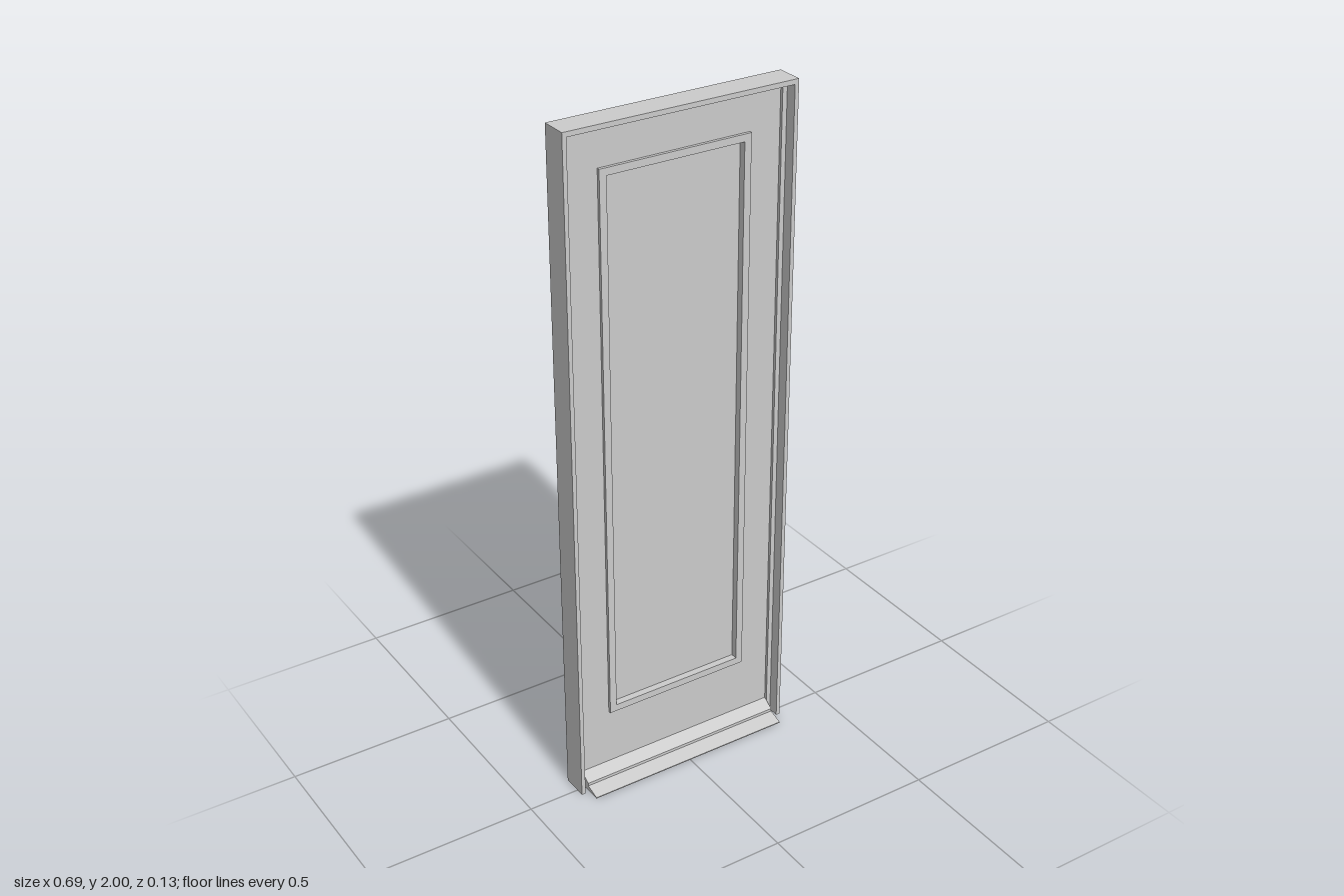
import * as THREE from 'three';

const BACK = -0.055, FRONT = 0.025, SLAB_FRONT = -0.017;
const material = new THREE.MeshStandardMaterial({ color: 0xcccccc, flatShading: true });

// Closed rectangle as a list of points
function rect(x, y0, y1) {
  return [[-x, y0], [x, y0], [x, y1], [-x, y1]].map(p => new THREE.Vector2(...p));
}

// Extrude an outline from z0 to z1, optionally with one hole
function slice(name, outline, z0, z1, hole) {
  const shape = new THREE.Shape(outline);
  if (hole) shape.holes.push(new THREE.Path(hole));
  const geo = new THREE.ExtrudeGeometry(shape, { depth: z1 - z0, bevelEnabled: false });
  geo.translate(0, 0, z0);
  const mesh = new THREE.Mesh(geo, material);
  mesh.name = name;
  return mesh;
}

// Outline of two posts and a head, open at the bottom
function arch(xOut, xIn, yOut, yIn) {
  return [[-xOut, 0], [-xIn, 0], [-xIn, yIn], [xIn, yIn], [xIn, 0], [xOut, 0], [xOut, yOut], [-xOut, yOut]]
    .map(p => new THREE.Vector2(...p));
}

// Run a (z, y) profile along x between -half and half
function sweepX(name, profile, half) {
  const shape = new THREE.Shape(profile.map(([z, y]) => new THREE.Vector2(-z, y)));
  const geo = new THREE.ExtrudeGeometry(shape, { depth: 2 * half, bevelEnabled: false });
  geo.translate(0, 0, -half);
  geo.rotateY(Math.PI / 2);
  const mesh = new THREE.Mesh(geo, material);
  mesh.name = name;
  return mesh;
}

export function createModel() {
  const door = new THREE.Group();
  door.name = 'door';

  // Jambs and head, with a stepped stop just in front of the leaf
  door.add(slice('frame', arch(0.347, 0.335, 2, 1.986), BACK, FRONT));
  door.add(slice('doorStop', arch(0.335, 0.321, 1.986, 1.974), BACK, -0.008));

  // Leaf with its window opening
  const opening = rect(0.206, 0.241, 1.849);
  door.add(slice('leaf', rect(0.321, 0.045, 1.974), BACK, SLAB_FRONT, opening));

  // Raised moulding around the opening on both faces
  const mould = rect(0.227, 0.22, 1.87);
  door.add(slice('frontMoulding', mould, SLAB_FRONT, SLAB_FRONT + 0.009, opening));
  door.add(slice('backMoulding', mould, BACK - 0.009, BACK, opening));

  // Recessed pane
  door.add(slice('pane', opening, -0.043, -0.029));

  // Sloped threshold with a projecting nose
  door.add(sweepX('threshold', [
    [BACK, 0], [0.062, 0], [0.062, 0.003], [0.018, 0.016], [0.018, 0.025], [SLAB_FRONT, 0.045], [BACK, 0.045],
  ], 0.321));

  return door;
}
